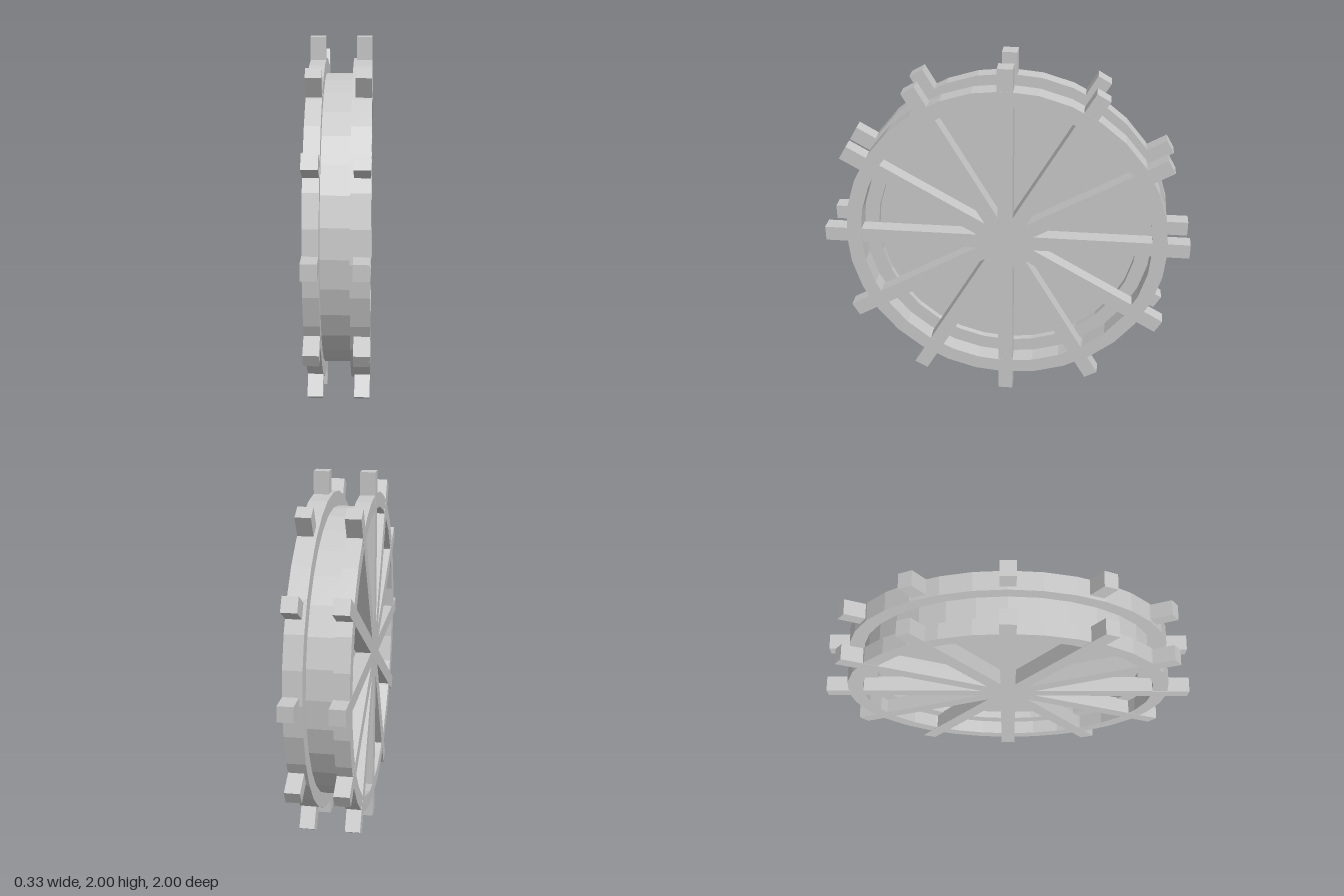
import * as THREE from 'three';

const SIDES = 32;

// Faceted ring of rectangular section around the x axis
function ringGeometry(inner, outer, x0, x1) {
  const profile = [[inner, x0], [outer, x0], [outer, x1], [inner, x1], [inner, x0]]
    .map(([r, x]) => new THREE.Vector2(r, x));
  const geometry = new THREE.LatheGeometry(profile, SIDES).toNonIndexed();
  geometry.rotateZ(-Math.PI / 2);
  geometry.computeVertexNormals();
  return geometry;
}

export function createModel() {
  const model = new THREE.Group();
  model.name = 'spokedWheel';
  const grey = new THREE.MeshStandardMaterial({ color: 0xc8c8c8 });
  grey.name = 'light grey';

  const add = (name, geometry, parent = model) => {
    const mesh = new THREE.Mesh(geometry, grey);
    mesh.name = name;
    parent.add(mesh);
    return mesh;
  };

  const wheel = new THREE.Group();
  wheel.name = 'wheel';
  wheel.position.y = 1;
  model.add(wheel);

  // Outer rims
  add('leftRim', ringGeometry(0.8, 0.882, 0.065, 0.165), wheel);
  add('rightRim', ringGeometry(0.8, 0.882, -0.165, -0.083), wheel);

  // Drum between the rims, closed by a web disc
  add('drum', ringGeometry(0.72, 0.8, -0.09, 0.065), wheel);
  const disc = new THREE.CylinderGeometry(0.73, 0.73, 0.08, SIDES).toNonIndexed();
  disc.rotateZ(-Math.PI / 2);
  disc.computeVertexNormals();
  add('webDisc', disc, wheel).position.x = -0.01;

  // Six full-width bars per side make twelve spokes with protruding pegs
  for (const [name, x] of [['leftSpokes', 0.123], ['rightSpokes', -0.125]]) {
    const spokes = new THREE.Group();
    spokes.name = name;
    spokes.position.x = x;
    wheel.add(spokes);
    for (let i = 0; i < 6; i++) {
      const bar = add('spokeBar', new THREE.BoxGeometry(0.082, 2, 0.082), spokes);
      bar.rotation.x = (i * Math.PI) / 6;
    }
  }
  return model;
}
